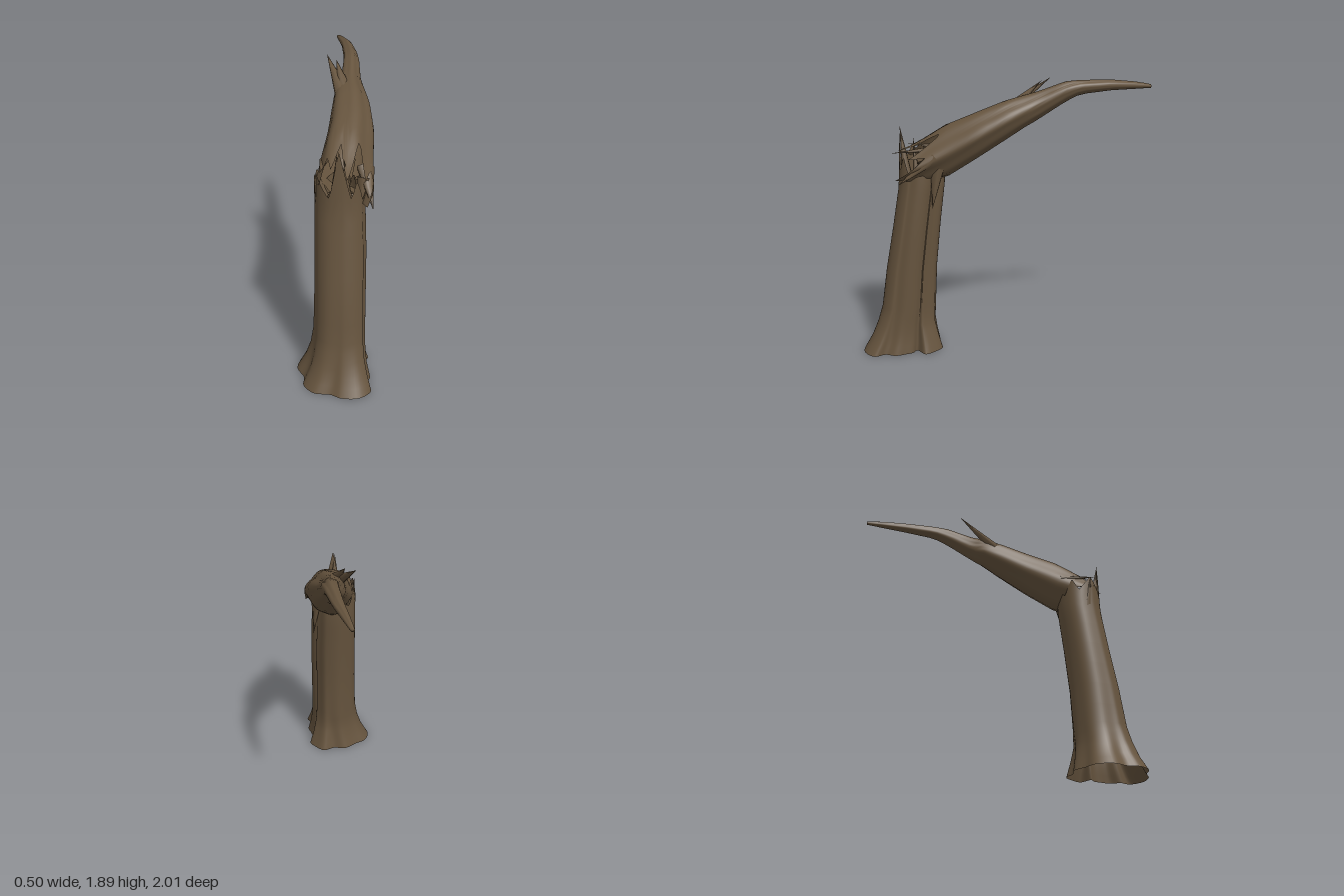
import * as THREE from 'three';

const bark = new THREE.MeshStandardMaterial({ color: 0x66543e, side: THREE.DoubleSide });
bark.name = 'bark brown';

// Tube-like surface: rows of points, closed around each row
function loft(rows, cols, point) {
  const pos = [], idx = [];
  for (let j = 0; j <= rows; j++)
    for (let i = 0; i < cols; i++) pos.push(...point(i / cols, j));
  for (let j = 0; j < rows; j++)
    for (let i = 0; i < cols; i++) {
      const k = (i + 1) % cols, a = j * cols + i, b = j * cols + k;
      idx.push(a, a + cols, b, b, a + cols, b + cols);
    }
  const g = new THREE.BufferGeometry();
  g.setAttribute('position', new THREE.Float32BufferAttribute(pos, 3));
  g.setIndex(idx);
  g.computeVertexNormals();
  return g;
}

// Linear interpolation in a table of [key, ...values], keys rising
function lookup(table, k) {
  let i = 0;
  while (i < table.length - 2 && k > table[i + 1][0]) i++;
  const a = table[i], b = table[i + 1];
  const t = THREE.MathUtils.clamp((k - a[0]) / (b[0] - a[0]), 0, 1);
  return a.slice(1).map((v, n) => v + (b[n + 1] - v) * t);
}

// Jagged edge: the highest of several pointed teeth [angle, reach, half width]
function jagged(angle, base, teeth) {
  let h = base;
  for (const [c, reach, w] of teeth) {
    const d = Math.abs(Math.atan2(Math.sin(angle - c), Math.cos(angle - c)));
    h = Math.max(h, base + (reach - base) * (1 - d / w));
  }
  return h;
}

// Root outline on the ground (x, z)
const roots = new THREE.CatmullRomCurve3([
  [0.2, 0.66], [0.22, 0.71], [0.24, 0.78], [0.215, 0.85], [0.245, 0.92], [0.17, 0.995],
  [0.05, 1], [-0.02, 0.965], [-0.13, 0.95], [-0.2, 0.87], [-0.2, 0.79], [-0.25, 0.69],
  [-0.22, 0.58], [-0.14, 0.53], [-0.05, 0.47], [0.04, 0.48], [0.12, 0.45], [0.185, 0.5],
  [0.23, 0.57], [0.16, 0.63],
].map(([x, z]) => new THREE.Vector3(x / 0.25, 0, (z - 0.725) / 0.275)), true);

// Trunk sections: y, xMin, xMax, zMin, zMax, amount of root shape
const trunk = [
  [0, -0.25, 0.25, 0.45, 1, 1],
  [0.1, -0.195, 0.225, 0.473, 0.945, 0.85],
  [0.2, -0.16, 0.212, 0.49, 0.905, 0.6],
  [0.32, -0.14, 0.207, 0.487, 0.87, 0.4],
  [0.6, -0.132, 0.207, 0.475, 0.83, 0.28],
  [0.9, -0.13, 0.207, 0.446, 0.775, 0.22],
  [1.2, -0.128, 0.197, 0.41, 0.725, 0.18],
  [1.6, -0.13, 0.18, 0.4, 0.715, 0.1],
];
const crown = [[1.55, 1.6, 0.48], [2.7, 1.43, 0.9], [0.85, 1.4, 0.35], [0.15, 1.3, 0.4],
  [3.6, 1.4, 0.5], [4.5, 1.34, 0.8], [5.4, 1.34, 0.5]];
const trunkRows = [0, 0.05, 0.1, 0.15, 0.2, 0.26, 0.32, 0.45, 0.6, 0.75, 0.9, 1.05];

function trunkPoint(u, y, scale = 1) {
  const q = roots.getPoint(u), r = Math.hypot(q.x, q.z);
  const [x0, x1, z0, z1, w] = lookup(trunk, y);
  // the trunk is hollowed along its back left corner
  const hollow = 0.2 * (1 - w) * Math.exp(-(((Math.atan2(q.z, q.x) + 0.7) / 0.45) ** 2));
  const s = scale * (w + (1 - w) / r) * (1 - hollow);
  return [(x0 + x1) / 2 + q.x * s * (x1 - x0) / 2, y, (z0 + z1) / 2 + q.z * s * (z1 - z0) / 2];
}

// Fallen part sections: z, xMin, xMax, yMin, yMax
const fallen = [
  [-1, -0.015, 0.012, 1.82, 1.845],
  [-0.9, -0.002, 0.045, 1.818, 1.865],
  [-0.72, 0.025, 0.1, 1.815, 1.885],
  [-0.5, 0.04, 0.14, 1.793, 1.887],
  [-0.4, 0.04, 0.155, 1.745, 1.88],
  [-0.2, 0.02, 0.168, 1.615, 1.81],
  [-0.14, -0.015, 0.19, 1.58, 1.795],
  [0, -0.03, 0.227, 1.49, 1.76],
  [0.2, -0.052, 0.25, 1.36, 1.685],
  [0.4, -0.09, 0.242, 1.23, 1.605],
  [0.6, -0.118, 0.242, 1.18, 1.475],
  [0.77, -0.12, 0.237, 1.15, 1.415],
];
const tear = [[-0.4, 0.74, 0.9], [1.45, 0.75, 0.35], [2.7, 0.68, 0.7], [0.6, 0.66, 0.4],
  [2.05, 0.64, 0.3]];

// Flattened pointed sliver from a to b
function splinter(a, b, width) {
  const from = new THREE.Vector3(...a), to = new THREE.Vector3(...b);
  const dir = to.clone().sub(from);
  const g = new THREE.ConeGeometry(width, dir.length(), 7, 2);
  g.scale(1, 1, 0.7);
  const m = new THREE.Mesh(g, bark);
  m.quaternion.setFromUnitVectors(new THREE.Vector3(0, 1, 0), dir.normalize());
  m.position.copy(from.add(to).multiplyScalar(0.5));
  return m;
}

export function createModel() {
  const model = new THREE.Group();
  const add = (name, geometry) => {
    const m = new THREE.Mesh(geometry, bark);
    m.name = name;
    model.add(m);
  };

  // Standing trunk with flared roots and a torn crown
  const n = trunkRows.length;
  add('stump', loft(n + 3, 96, (u, j) => {
    if (j < n) return trunkPoint(u, trunkRows[j]);
    const q = roots.getPoint(u);
    const top = jagged(Math.atan2(q.z, q.x), 1.25, crown);
    return trunkPoint(u, 1.05 + (top - 1.05) * (j - n + 1) / 4);
  }));

  // Rough broken wood inside the crown
  add('brokenCore', loft(5, 36, (u, j) => {
    const p = trunkPoint(u, 1.2, 0.98 * (1 - j / 5));
    p[1] += j === 0 ? 0 : 0.03 * Math.sin(u * Math.PI * 14 + j * 2) * (1 - j / 5) + 0.012 * j;
    return p;
  }));

  // Toppled upper trunk, tapering to a thin tip; its left corners are cut away
  const steps = 26;
  add('fallenTrunk', loft(steps + 1, 64, (u, j) => {
    const a = u * Math.PI * 2, c = Math.cos(a), s = Math.sin(a);
    const end = jagged(a, 0.5 - 0.06 * Math.max(0, s), tear);
    const z = j === 0 ? -1 : -1 + (end + 1) * (j - 1) / steps;
    const [x0, x1, y0, y1] = lookup(fallen, z);
    const cut = Math.max(0, c) * Math.abs(s) * (s < 0 ? 0.26 : 0.16);
    const r = j === 0 ? 0 : (0.98 + 0.035 * Math.sin(a * 6 + z * 2)) * (1 - cut);
    return [(x0 + x1) / 2 + c * r * (x1 - x0) / 2, (y0 + y1) / 2 + s * r * (y1 - y0) / 2, z];
  }));

  // Loose splinters around the break and a snapped twig
  const splinters = new THREE.Group();
  splinters.name = 'splinters';
  [
    [[0.16, 1.32, 0.46], [0.185, 1.04, 0.5], 0.05],
    [[0.18, 1.36, 0.55], [0.15, 1.13, 0.64], 0.045],
    [[0.19, 1.4, 0.48], [0.238, 1.22, 0.72], 0.06],
    [[0.1, 1.44, 0.46], [0.1, 1.41, 0.77], 0.03],
    [[-0.07, 1.42, 0.42], [-0.09, 1.44, 0.67], 0.03],
    [[0.02, 1.2, 0.665], [0.015, 1.58, 0.71], 0.06],
    [[0.08, 1.2, 0.6], [0.06, 1.51, 0.62], 0.04],
    [[-0.08, 1.2, 0.6], [-0.125, 1.42, 0.63], 0.045],
    [[-0.06, 1.15, 0.5], [-0.11, 1.38, 0.49], 0.045],
    [[0.05, 1.69, -0.02], [-0.07, 1.89, -0.32], 0.06],
    [[0.06, 1.71, -0.05], [-0.005, 1.875, -0.25], 0.055],
  ].forEach((s) => splinters.add(splinter(...s)));
  model.add(splinters);

  return model;
}
